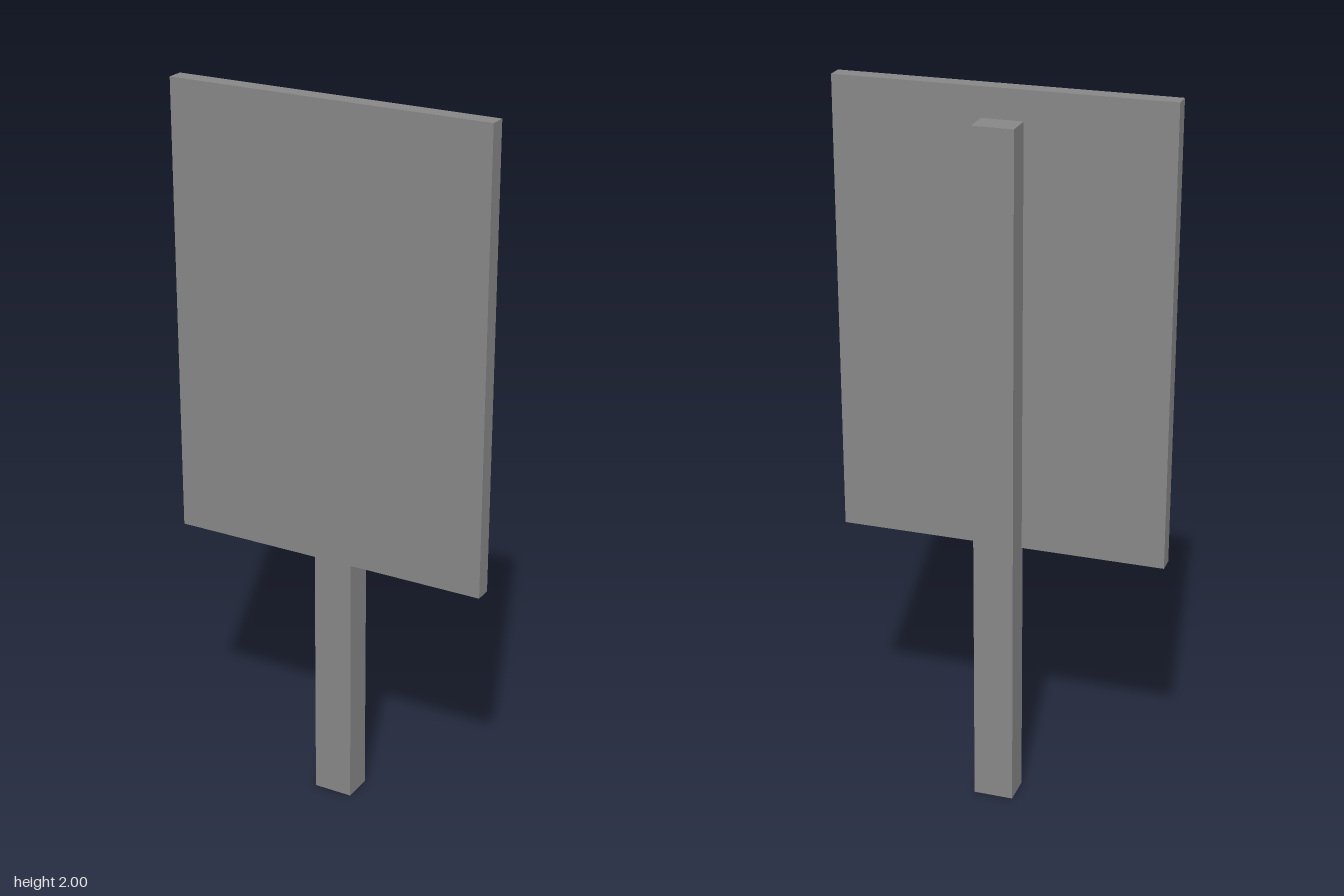
import * as THREE from 'three';

// Box given by its extents along each axis
function slab(name, [x0, x1], [y0, y1], [z0, z1], material) {
  const geometry = new THREE.BoxGeometry(x1 - x0, y1 - y0, z1 - z0);
  const mesh = new THREE.Mesh(geometry, material);
  mesh.position.set((x0 + x1) / 2, (y0 + y1) / 2, (z0 + z1) / 2);
  mesh.name = name;
  return mesh;
}

export function createModel() {
  const group = new THREE.Group();
  group.name = 'signpost';
  const darkGrey = new THREE.MeshStandardMaterial({ color: 0x878787 });

  // Flat sign board facing the front
  group.add(slab('signBoard', [-0.452, 0.452], [0.747, 2], [0.015, 0.062], darkGrey));

  // Square post behind the board, its front slightly let into the board
  group.add(slab('post', [-0.058, 0.053], [0, 1.92], [-0.062, 0.024], darkGrey));

  return group;
}
